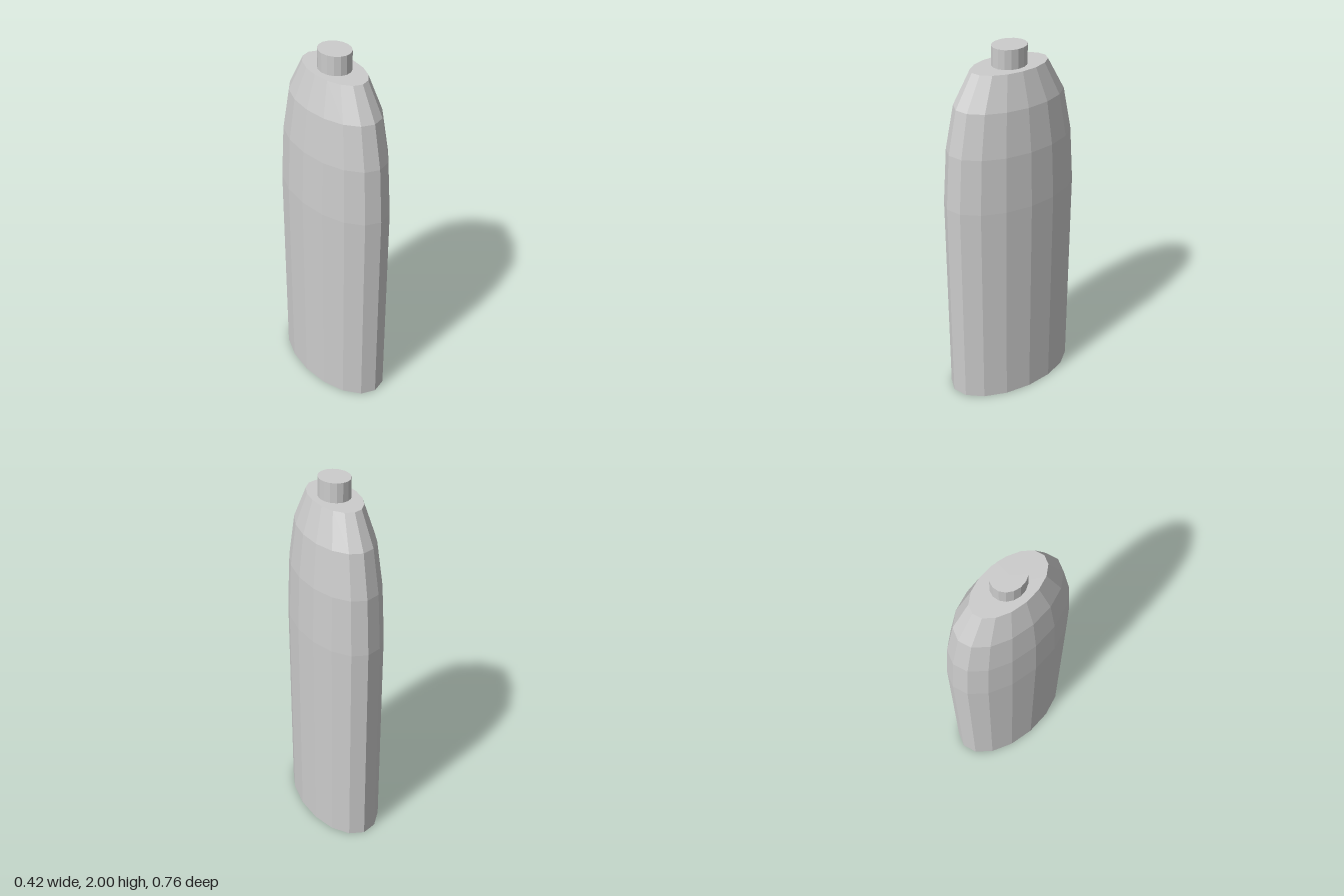
import * as THREE from 'three';

const SIDES = 16;

export function createModel() {
  const group = new THREE.Group();
  const material = new THREE.MeshStandardMaterial({ color: 0xcccccc, flatShading: true });

  // Oval body: straight wall, then a shoulder tapering to a flat top.
  // Each pair is [share of the full radius, height].
  const profile = [
    [0, 0], [1, 0], [1, 1.2], [0.942, 1.5], [0.817, 1.73], [0.566, 1.9], [0, 1.9],
  ].map(([r, y]) => new THREE.Vector2(r, y));
  const body = new THREE.Mesh(new THREE.LatheGeometry(profile, SIDES).scale(0.208, 1, 0.378), material);
  body.name = 'body';
  group.add(body);

  // Short, slightly oval stub on top
  const neck = new THREE.Mesh(new THREE.CylinderGeometry(1, 1, 0.1, SIDES).scale(0.08, 1, 0.093), material);
  neck.name = 'neck';
  neck.position.y = 1.95;
  group.add(neck);

  return group;
}
